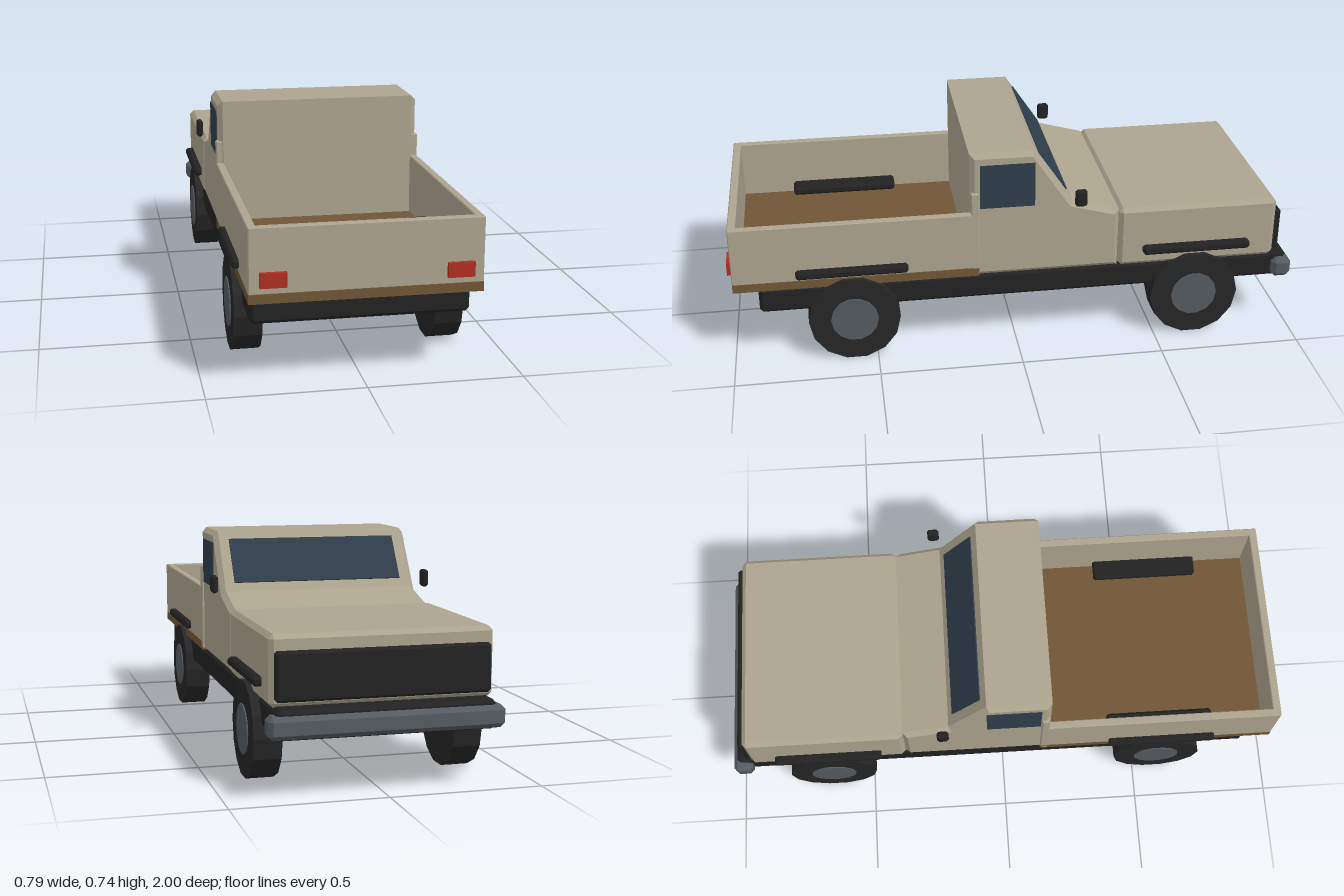
import * as THREE from 'three';
import { ConvexGeometry } from 'three/addons/geometries/ConvexGeometry.js';

const material = (name, color) => {
  const m = new THREE.MeshStandardMaterial({ color });
  m.name = name;
  return m;
};

export function createModel() {
  const truck = new THREE.Group();
  truck.name = 'pickupTruck';
  const paint = material('beigePaint', 0xada48f);
  const wood = material('brownFloor', 0x705636);
  const black = material('blackTrim', 0x222222);
  const rubber = material('tyreRubber', 0x262626);
  const steel = material('greySteel', 0x555b60);
  const glass = material('darkGlass', 0x2f3e4c);
  const red = material('redLamp', 0xb02e24);

  const add = (name, geometry, mat) => {
    const mesh = new THREE.Mesh(geometry, mat);
    mesh.name = name;
    truck.add(mesh);
    return mesh;
  };

  // Box given by its limits, with all edges chamfered by c
  const box = (name, mat, [x0, x1], [y0, y1], [z0, z1], c = 0) => {
    const size = [x1 - x0, y1 - y0, z1 - z0];
    let geometry;
    if (c === 0) geometry = new THREE.BoxGeometry(...size);
    else {
      const points = [];
      for (const sx of [-1, 1]) for (const sy of [-1, 1]) for (const sz of [-1, 1]) {
        for (let axis = 0; axis < 3; axis++) {
          const p = [sx, sy, sz].map((s, i) => s * (size[i] / 2 - (i === axis ? 0 : c)));
          points.push(new THREE.Vector3(...p));
        }
      }
      geometry = new ConvexGeometry(points);
    }
    geometry.translate((x0 + x1) / 2, (y0 + y1) / 2, (z0 + z1) / 2);
    return add(name, geometry, mat);
  };

  // Underbody, bonnet, grille and bumper; the nose points to -z
  box('chassis', black, [-0.35, 0.35], [0.19, 0.284], [-0.985, 0.9], 0.012);
  box('bonnet', paint, [-0.36, 0.36], [0.28, 0.505], [-0.93, -0.36], 0.015);
  box('grille', black, [-0.345, 0.345], [0.3, 0.455], [-0.953, -0.92], 0.008);
  box('bumper', steel, [-0.378, 0.378], [0.195, 0.267], [-1, -0.93], 0.015);

  // Cab: side profile (z, y) extruded across the width
  const profile = [[0.165, 0.28], [0.165, 0.746], [-0.06, 0.746], [-0.195, 0.545], [-0.36, 0.5], [-0.36, 0.28]];
  const cabShape = new THREE.Shape(profile.map(([z, y]) => new THREE.Vector2(z, y)));
  const bevel = 0.017;
  const cab = new THREE.ExtrudeGeometry(cabShape, {
    depth: 0.714 - 2 * bevel, bevelEnabled: true, bevelThickness: bevel,
    bevelSize: bevel, bevelOffset: -bevel, bevelSegments: 1,
  });
  cab.translate(0, 0, bevel - 0.357).rotateY(-Math.PI / 2);
  add('cab', cab, paint);

  // Windscreen laid on the sloping face
  const slope = Math.atan2(0.135, 0.201);
  const screen = add('windscreen', new THREE.BoxGeometry(0.61, 0.175, 0.008), glass);
  screen.position.set(0, 0.6455, -0.1285);
  screen.rotation.x = slope;

  // Load bed
  box('bedFloor', wood, [-0.365, 0.365], [0.287, 0.317], [0.135, 0.985]);
  box('headboard', paint, [-0.365, 0.365], [0.29, 0.605], [0.133, 0.162], 0.004);
  box('tailgate', paint, [-0.365, 0.365], [0.316, 0.526], [0.957, 0.985], 0.003);

  // Mirrored side parts
  for (const s of [-1, 1]) {
    const side = s > 0 ? 'left' : 'right';
    const span = (a, b) => (s > 0 ? [a, b] : [-b, -a]);
    box(side + 'BedWall', paint, span(0.338, 0.365), [0.316, 0.526], [0.135, 0.985], 0.003);
    box(side + 'SideWindow', glass, span(0.353, 0.36), [0.545, 0.706], [-0.06, 0.13]);
    box(side + 'Mirror', black, span(0.374, 0.397), [0.545, 0.606], [-0.236, -0.195], 0.007);
    box(side + 'TailLamp', red, span(0.248, 0.332), [0.34, 0.387], [0.98, 1]);
    for (const [end, z] of [['Front', -0.64], ['Rear', 0.576]]) {
      box(side + end + 'Fender', black, span(0.27, 0.389), [0.33, 0.36], [z - 0.193, z + 0.193], 0.008);
      const tyre = new THREE.CylinderGeometry(0.16, 0.16, 0.093, 14).toNonIndexed();
      tyre.computeVertexNormals();
      tyre.rotateZ(Math.PI / 2).translate(s * 0.3325, 0.157, z);
      add(side + end + 'Tyre', tyre, rubber);
      const hub = new THREE.CylinderGeometry(0.083, 0.083, 0.01, 14);
      hub.rotateZ(Math.PI / 2).translate(s * 0.378, 0.157, z);
      add(side + end + 'Hub', hub, steel);
    }
  }
  return truck;
}
